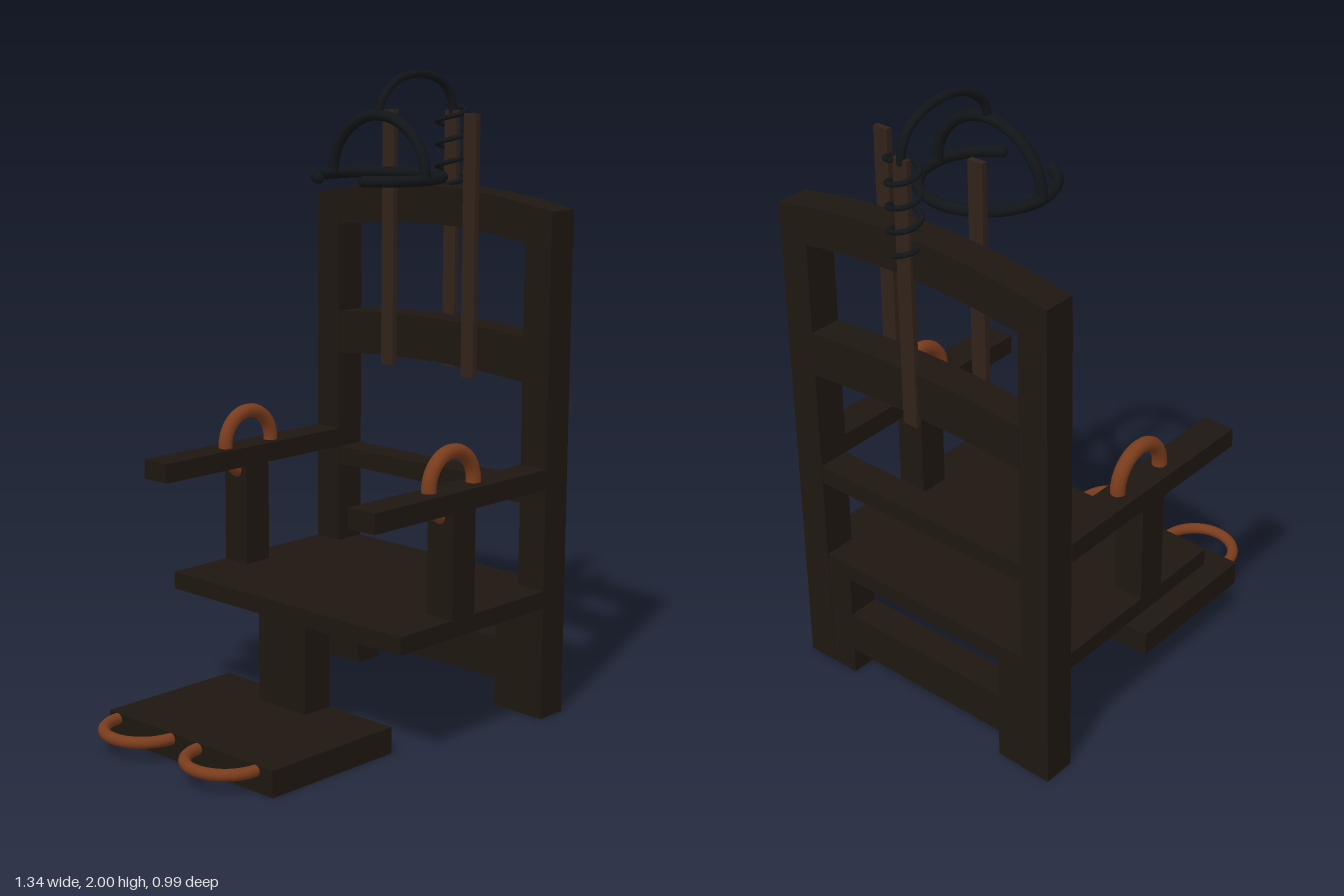
import * as THREE from 'three';

const wood = new THREE.MeshStandardMaterial({ color: 0x1e1711 });
const slatWood = new THREE.MeshStandardMaterial({ color: 0x32221a });
const leather = new THREE.MeshStandardMaterial({ color: 0x7a3c1c });
const metal = new THREE.MeshStandardMaterial({ color: 0x121518 });

export function createModel() {
  const group = new THREE.Group();

  const add = (name, geometry, material) => {
    const mesh = new THREE.Mesh(geometry, material);
    mesh.name = name;
    group.add(mesh);
    return mesh;
  };

  // Box given by its limits on each axis
  const box = (name, x0, x1, y0, y1, z0, z1, material = wood) =>
    add(name, new THREE.BoxGeometry(x1 - x0, y1 - y0, z1 - z0), material)
      .position.set((x0 + x1) / 2, (y0 + y1) / 2, (z0 + z1) / 2);

  // Rail between the posts, bowed upward in the middle
  const bowedRail = (name, half, bottom, top, rise) => {
    const shape = new THREE.Shape();
    shape.moveTo(-half, bottom);
    shape.quadraticCurveTo(0, bottom + rise * 2, half, bottom);
    shape.lineTo(half, top);
    shape.quadraticCurveTo(0, top + rise * 2, -half, top);
    const geo = new THREE.ExtrudeGeometry(shape, { depth: 0.105, bevelEnabled: false, curveSegments: 8 });
    geo.rotateY(Math.PI / 2);
    add(name, geo, wood).position.x = 0.512;
  };

  const tube = (name, points, radius, segments, material = metal) => {
    const path = new THREE.CatmullRomCurve3(points.map(p => new THREE.Vector3(...p)));
    add(name, new THREE.TubeGeometry(path, segments, radius, 10), material);
    // Rounded ends
    for (const p of [points[0], points[points.length - 1]])
      add(name + 'End', new THREE.SphereGeometry(radius, 10, 8), material).position.set(...p);
  };

  // Paired parts: posts, leg blocks, armrests, supports, wrist straps
  for (const s of [1, -1]) {
    const sideBox = (name, x0, x1, y0, y1, zin, zout) =>
      box(name, x0, x1, y0, y1, Math.min(s * zin, s * zout), Math.max(s * zin, s * zout));
    sideBox('backPost', 0.51, 0.615, 0, 1.53, 0.39, 0.49);
    sideBox('legBlock', 0.512, 0.613, 0, 0.36, 0.3, 0.39);
    sideBox('armrest', -0.26, 0.51, 0.74, 0.802, 0.39, 0.493);
    sideBox('armSupport', 0.08, 0.18, 0.415, 0.74, 0.39, 0.49);
    add('wristStrap', new THREE.TorusGeometry(0.1, 0.023, 12, 40), leather)
      .position.set(0.132, 0.81, s * 0.435);
    const slatZ = s > 0 ? 0.18 : -0.16;
    box('backSlat', 0.493, 0.512, 1.05, 1.87, slatZ - 0.025, slatZ + 0.025, slatWood);
  }
  for (const [z] of [[0, -0.65], [0, 0.65]].slice(0, 1))
    box('rearSlat', 0.61, 0.627, 1.05, 1.87, z - 0.025, z + 0.025, slatWood);

  // Back frame
  bowedRail('topRail', 0.49, 1.47, 1.59, 0.05);
  bowedRail('middleRail', 0.39, 1.06, 1.2, 0.02);
  box('lowerBackRail', 0.512, 0.613, 0.68, 0.74, -0.39, 0.39);
  box('legCrossbar', 0.512, 0.613, 0.09, 0.225, -0.3, 0.3);

  // Seat, pillar and footplate
  box('seat', -0.145, 0.51, 0.36, 0.415, -0.49, 0.49);
  box('seatBackEdge', 0.51, 0.613, 0.36, 0.415, -0.39, 0.39);
  box('footPillar', -0.143, -0.037, 0.08, 0.36, -0.1, 0.1);
  box('footplate', -0.53, -0.035, 0, 0.082, -0.355, 0.358);

  // Ankle straps: half rings lying flat at the front edge
  for (const z of [-0.195, 0.167]) {
    const geo = new THREE.TorusGeometry(0.122, 0.018, 12, 32, Math.PI);
    geo.rotateZ(Math.PI / 2).rotateX(Math.PI / 2);
    add('ankleStrap', geo, leather).position.set(-0.528, 0.064, z);
  }

  // Head ring, open toward the front of the seat
  const ring = [];
  for (let i = 0; i <= 32; i++) {
    const a = (i / 32 - 0.5) * THREE.MathUtils.degToRad(302);
    ring.push([0.277 + 0.193 * Math.cos(a), 1.68, 0.004 + 0.193 * Math.sin(a)]);
  }
  tube('headRing', ring, 0.017, 64);

  // Arch over the head ring
  const arch = [];
  for (let i = 0; i <= 16; i++) {
    const a = (i / 16) * Math.PI;
    arch.push([0.272, 1.68 + 0.187 * Math.sin(a), 0.004 + 0.193 * Math.cos(a)]);
  }
  tube('headArch', arch, 0.017, 40);

  // Cable from the arch back to the coil
  tube('cable', [[0.27, 1.865, 0.004], [0.29, 1.92, 0.004], [0.35, 1.968, 0.004], [0.43, 1.987, 0.002],
    [0.52, 1.978, 0], [0.585, 1.945, 0], [0.615, 1.9, 0], [0.62, 1.86, 0]], 0.013, 40);

  // Coil behind the back
  const coil = [];
  for (let i = 0; i <= 64; i++) {
    const a = (i / 64) * Math.PI * 8;
    coil.push([0.614 + 0.045 * Math.cos(a), 1.88 - 0.28 * (i / 64), 0.045 * Math.sin(a)]);
  }
  tube('coil', coil, 0.008, 160);

  return group;
}
